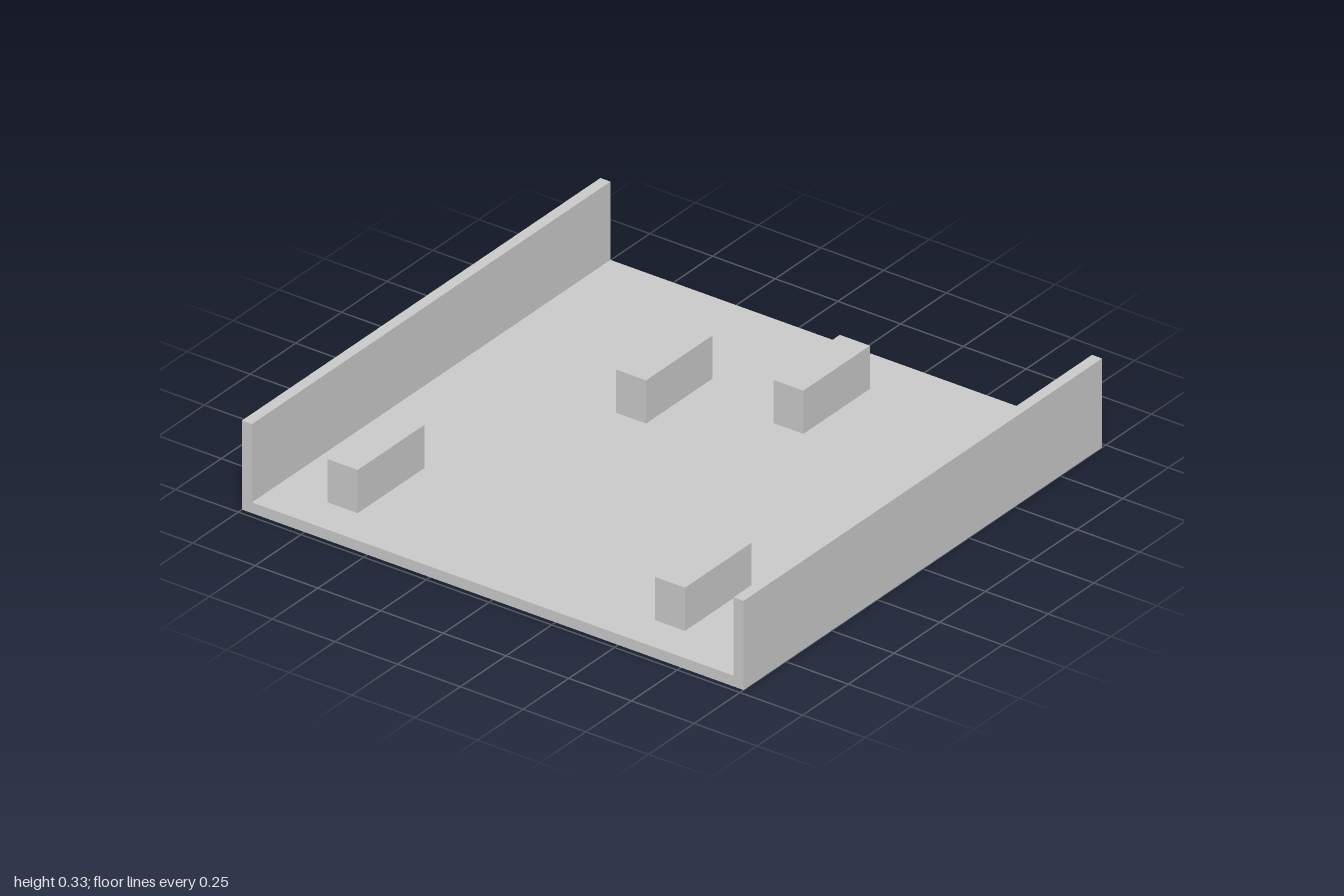
import * as THREE from 'three';

const WIDTH = 1.96, HALF_DEPTH = 1, HEIGHT = 0.33, WALL = 0.04;

export function createModel() {
  const model = new THREE.Group();
  model.name = 'channelTray';
  const material = new THREE.MeshStandardMaterial({ color: 0xcccccc, flatShading: true });

  // U-shaped tray: floor with a front and a back wall, open at both sides
  const inner = HALF_DEPTH - WALL;
  const profile = new THREE.Shape([
    [-HALF_DEPTH, 0], [HALF_DEPTH, 0], [HALF_DEPTH, HEIGHT], [inner, HEIGHT],
    [inner, WALL], [-inner, WALL], [-inner, HEIGHT], [-HALF_DEPTH, HEIGHT],
  ].map(([z, y]) => new THREE.Vector2(z, y)));
  const trayGeometry = new THREE.ExtrudeGeometry(profile, { depth: WIDTH, bevelEnabled: false });
  trayGeometry.translate(0, 0, -WIDTH / 2).rotateY(Math.PI / 2);
  const tray = new THREE.Mesh(trayGeometry, material);
  tray.name = 'tray';
  model.add(tray);

  // Four equal blocks hovering above the floor
  const blockGeometry = new THREE.BoxGeometry(0.364, 0.16, 0.12);
  const blockCentres = [[-0.778, -0.613], [0.242, -0.207], [0.486, 0.242], [-0.778, 0.692]];
  blockCentres.forEach(([x, z], i) => {
    const block = new THREE.Mesh(blockGeometry, material);
    block.name = `block${i + 1}`;
    block.position.set(x, 0.207, z);
    model.add(block);
  });

  return model;
}
